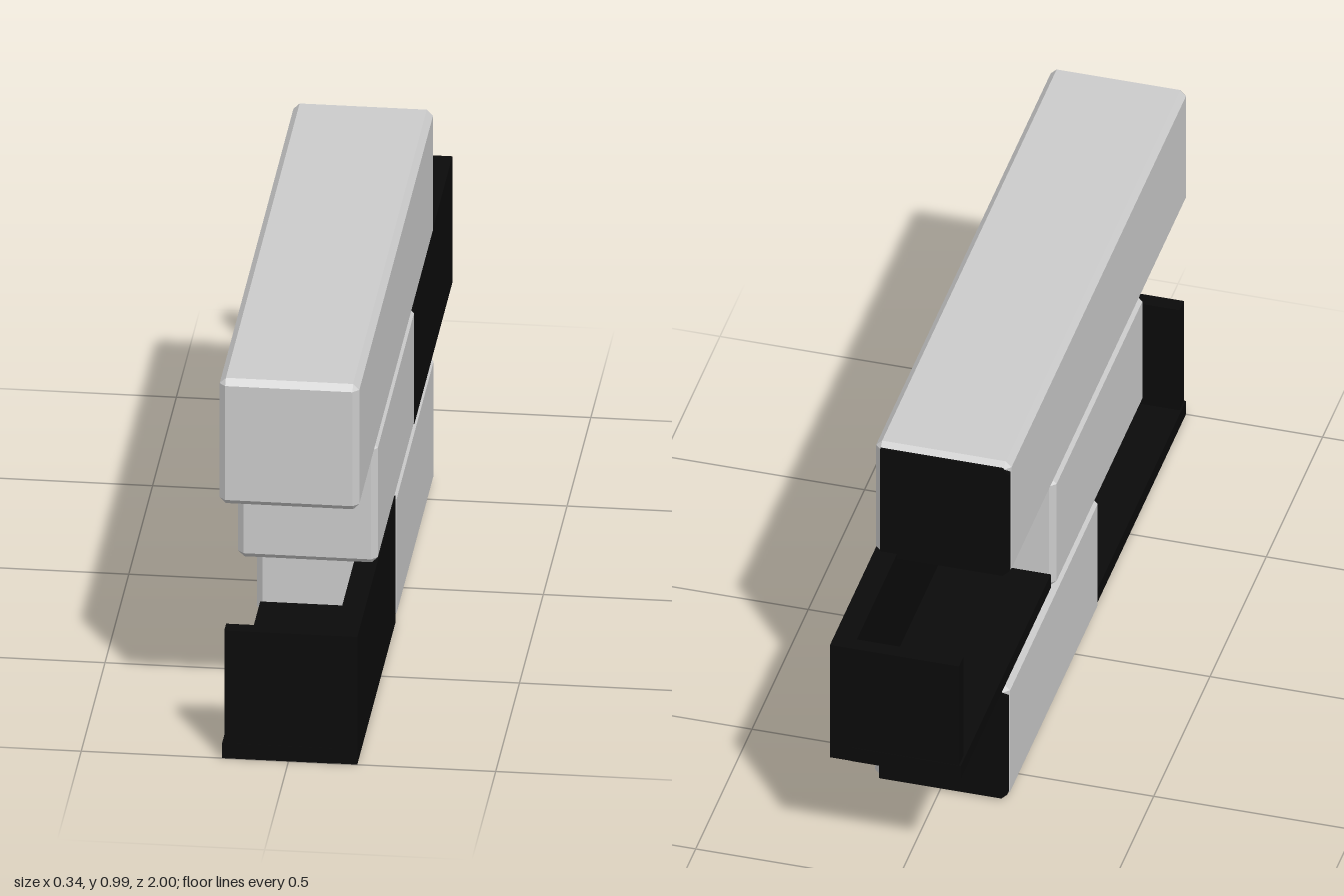
import * as THREE from 'three';
import { ConvexGeometry } from 'three/addons/geometries/ConvexGeometry.js';

const BEVEL = 0.015;
const LEFT = 0.167, RIGHT = -0.17; // side faces of the beams

export function createModel() {
  const model = new THREE.Group();
  const grey = new THREE.MeshStandardMaterial({ color: 0xcccccc, flatShading: true });
  const black = new THREE.MeshStandardMaterial({ color: 0x0a0a0a, flatShading: true });

  // Box given by its limits
  function box(name, parent, x0, x1, y0, y1, z0, z1) {
    const mesh = new THREE.Mesh(new THREE.BoxGeometry(x1 - x0, y1 - y0, z1 - z0), black);
    mesh.position.set((x0 + x1) / 2, (y0 + y1) / 2, (z0 + z1) / 2);
    mesh.name = name;
    parent.add(mesh);
  }

  // Beam with every edge chamfered: three points at each corner
  function beam(name, y0, y1, z0, z1) {
    const half = [(LEFT - RIGHT) / 2, (y1 - y0) / 2, (z1 - z0) / 2];
    const points = [];
    for (const sx of [-1, 1]) for (const sy of [-1, 1]) for (const sz of [-1, 1]) {
      for (let axis = 0; axis < 3; axis++) {
        const p = [sx, sy, sz].map((s, i) => s * (half[i] - (i === axis ? 0 : BEVEL)));
        points.push(new THREE.Vector3(...p));
      }
    }
    const mesh = new THREE.Mesh(new ConvexGeometry(points), grey);
    mesh.position.set((LEFT + RIGHT) / 2, (y0 + y1) / 2, (z0 + z1) / 2);
    mesh.name = name;
    model.add(mesh);
  }

  // Black panel with clipped corners on the back end of a beam
  function endPanel(name, y0, y1, z) {
    const x0 = RIGHT + 0.002, x1 = LEFT - BEVEL, b = BEVEL;
    const shape = new THREE.Shape([
      [x0 + b, y0], [x1, y0], [x1, y1], [x0 + b, y1], [x0, y1 - b], [x0, y0 + b],
    ].map(([x, y]) => new THREE.Vector2(x, y)));
    const geometry = new THREE.ExtrudeGeometry(shape, { depth: 0.018, bevelEnabled: false });
    const mesh = new THREE.Mesh(geometry, black);
    mesh.position.z = z - 0.003;
    mesh.name = name;
    model.add(mesh);
  }

  // Tray with floor, left wall and one end wall; top and right side are open
  function tray(name, y0, y1, end) {
    const group = new THREE.Group();
    group.name = name;
    const span = (a, b) => [Math.min(a * end, b * end), Math.max(a * end, b * end)];
    box('trayFloor', group, -0.16, 0.115, y0, y0 + 0.04, ...span(0.2, 1));
    box('traySideWall', group, 0.11, 0.166, y0, y1, ...span(0.2, 0.999));
    box('trayEndWall', group, -0.155, 0.112, y0 + 0.001, y1, ...span(0.96, 0.999));
    model.add(group);
  }

  beam('topBeam', 0.66, 0.992, -0.6, 0.98);
  beam('middleBeam', 0.337, 0.656, -0.2, 0.592);
  beam('bottomBeam', 0.003, 0.335, -0.612, 0.195);

  endPanel('topEndPanel', 0.662, 0.98, -0.6);
  endPanel('bottomEndPanel', 0.006, 0.322, -0.612);

  tray('bottomFrontTray', 0, 0.338, 1);
  tray('middleBackTray', 0.34, 0.675, -1);

  return model;
}
